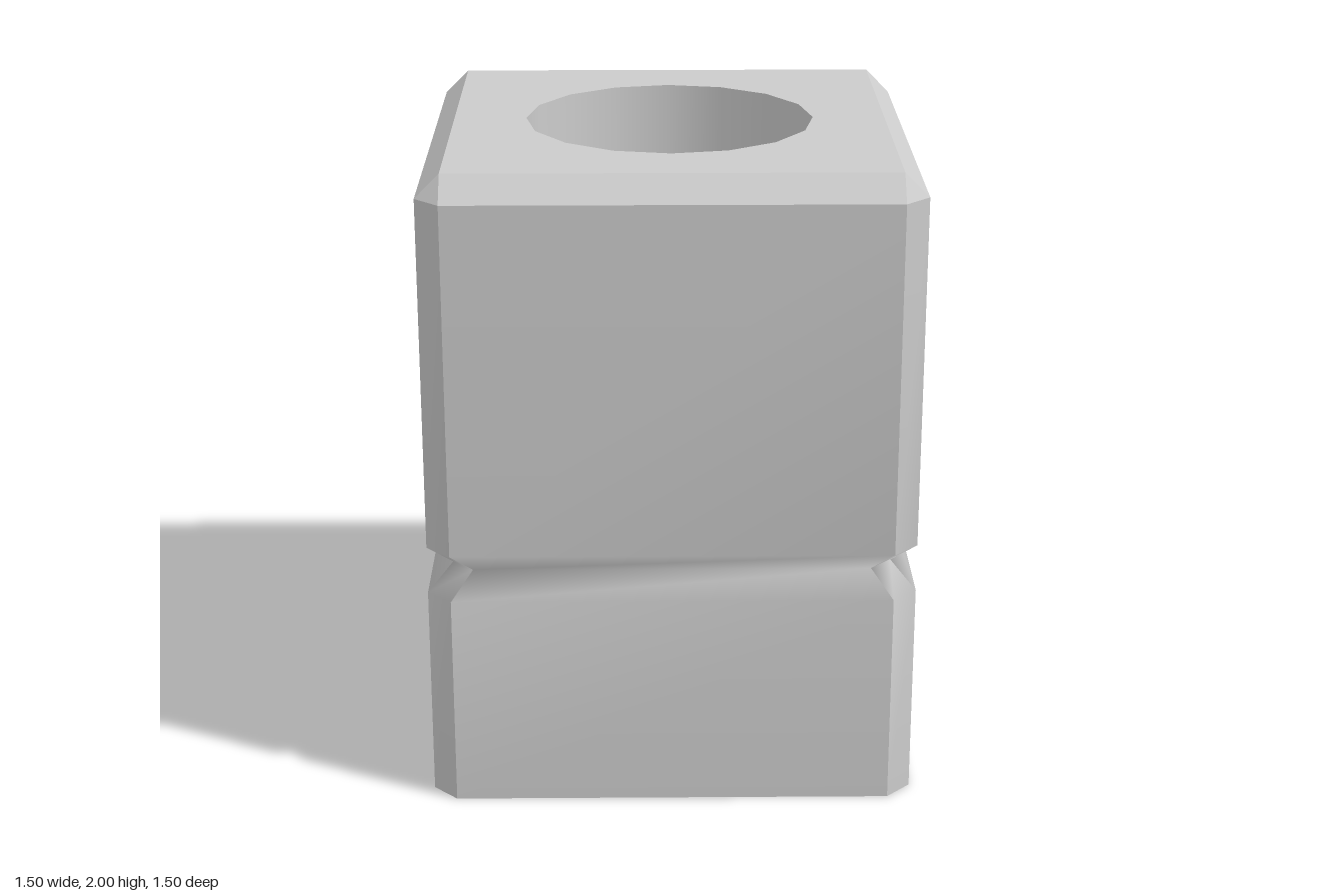
import * as THREE from 'three';

const HALF = 0.75, INSET = 0.675, NOTCH = 0.61, HEIGHT = 2, BEVEL_Y = 1.925;
const HOLE_R = 0.45, HOLE_SIDES = 16, HOLE_FLOOR = 0.5;

// Strip of quads from [left, right] corner pairs listed bottom to top; smooth along its length
function strip(pairs) {
  const geo = new THREE.BufferGeometry();
  const index = [];
  for (let i = 0; i < pairs.length - 1; i++) {
    const a = i * 2;
    index.push(a, a + 1, a + 3, a, a + 3, a + 2);
  }
  geo.setAttribute('position', new THREE.Float32BufferAttribute(pairs.flat(2), 3));
  geo.setIndex(index);
  geo.computeVertexNormals();
  return geo;
}

export function createModel() {
  const group = new THREE.Group();
  const mat = new THREE.MeshStandardMaterial({ color: 0xcccccc });
  const add = (parent, name, geo) => {
    const mesh = new THREE.Mesh(geo, mat);
    mesh.name = name;
    parent.add(mesh);
    return mesh;
  };

  // Side rings: height, half width, half width of the flat between corner chamfers
  const rings = [
    [0, HALF, INSET], [0.675, HALF, INSET], [0.75, INSET, NOTCH],
    [0.825, HALF, INSET], [BEVEL_Y, HALF, INSET],
  ];

  // Four identical sides, each with its corner chamfer and top bevel
  for (let k = 0; k < 4; k++) {
    const side = new THREE.Group();
    side.name = `side${k + 1}`;
    side.rotation.y = k * Math.PI / 2;
    add(side, 'groovedWall', strip(rings.map(([y, h, a]) => [[-a, y, h], [a, y, h]])));
    add(side, 'cornerChamfer', strip(rings.map(([y, h, a]) => [[a, y, h], [h, y, a]])));
    add(side, 'topBevel', strip([
      [[-INSET, BEVEL_Y, HALF], [INSET, BEVEL_Y, HALF]],
      [[-INSET, HEIGHT, INSET], [INSET, HEIGHT, INSET]],
    ]));
    add(side, 'cornerBevel', strip([
      [[INSET, BEVEL_Y, HALF], [HALF, BEVEL_Y, INSET]],
      [[INSET, HEIGHT, INSET], [INSET, HEIGHT, INSET]],
    ]));
    group.add(side);
  }

  // Top face with the round opening
  const s = INSET;
  const topShape = new THREE.Shape([[-s, -s], [s, -s], [s, s], [-s, s]].map(p => new THREE.Vector2(...p)));
  const circle = Array.from({ length: HOLE_SIDES }, (_, i) => {
    const t = -i * 2 * Math.PI / HOLE_SIDES;
    return new THREE.Vector2(Math.cos(t) * HOLE_R, Math.sin(t) * HOLE_R);
  });
  topShape.holes.push(new THREE.Path(circle));
  const top = add(group, 'topFace', new THREE.ShapeGeometry(topShape));
  top.rotation.x = -Math.PI / 2;
  top.position.y = HEIGHT;

  // Hole wall (profile runs downward so it faces inward) and floor
  add(group, 'holeWall', new THREE.LatheGeometry(
    [new THREE.Vector2(HOLE_R, HEIGHT), new THREE.Vector2(HOLE_R, HOLE_FLOOR)], HOLE_SIDES));
  const floor = add(group, 'holeFloor', new THREE.CircleGeometry(HOLE_R, HOLE_SIDES));
  floor.rotation.x = -Math.PI / 2;
  floor.position.y = HOLE_FLOOR;

  // Chamfered underside
  const h = HALF;
  const baseShape = new THREE.Shape(
    [[-s, -h], [s, -h], [h, -s], [h, s], [s, h], [-s, h], [-h, s], [-h, -s]].map(p => new THREE.Vector2(...p)));
  add(group, 'underside', new THREE.ShapeGeometry(baseShape)).rotation.x = Math.PI / 2;

  return group;
}
